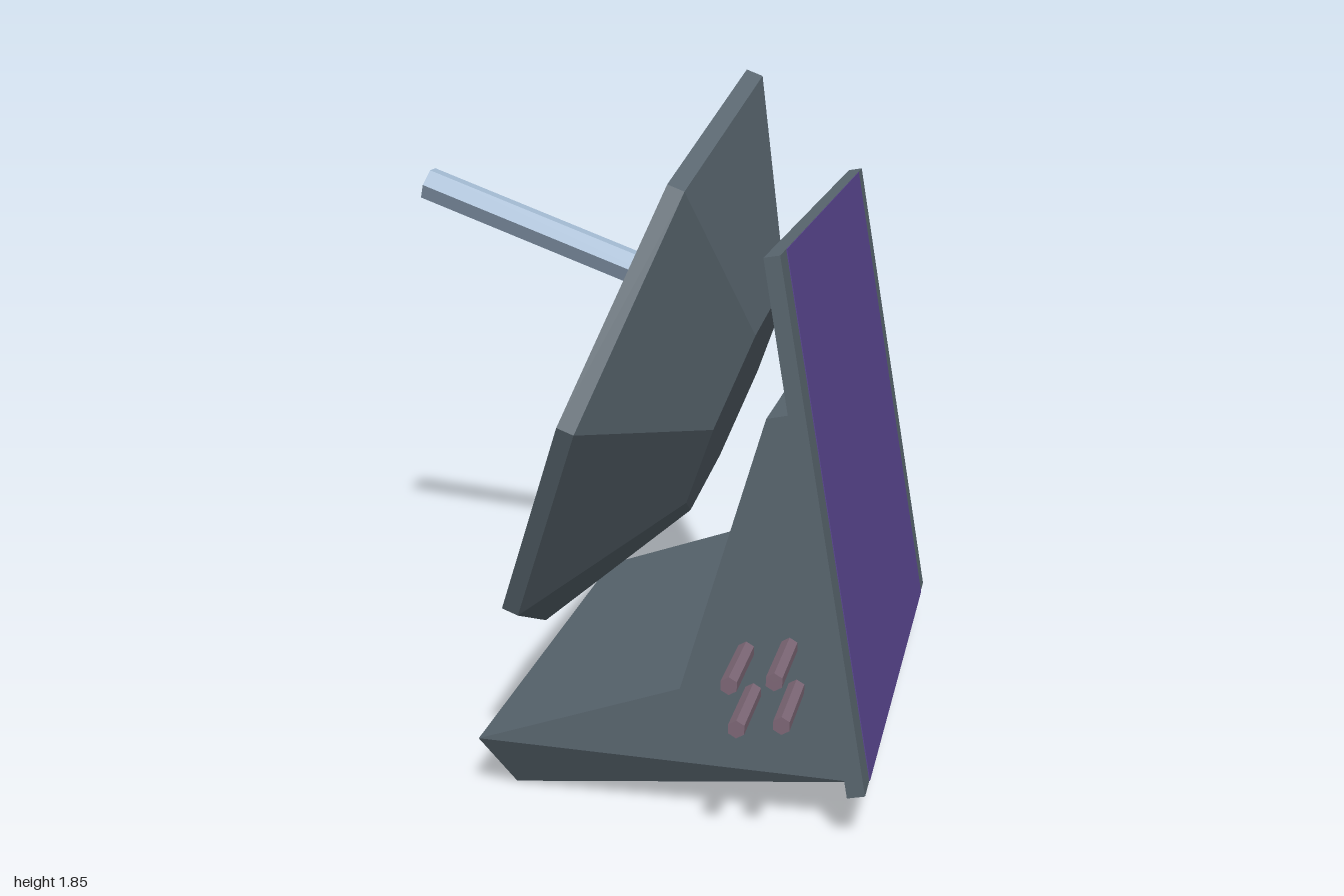
import * as THREE from 'three';

const mat = (color) => new THREE.MeshStandardMaterial({ color, flatShading: true });

// Prism from an x-y outline, spanning z = -half .. half
function prism(outline, half) {
  const shape = new THREE.Shape(outline.map(([x, y]) => new THREE.Vector2(x, y)));
  const geo = new THREE.ExtrudeGeometry(shape, { depth: half * 2, bevelEnabled: false });
  return geo.translate(0, 0, -half);
}

export function createModel() {
  const group = new THREE.Group();
  const slate = mat(0x59666f);
  const purple = mat(0x5c4894);
  const steel = mat(0xa3bad2);
  const mauve = mat(0x7d6776);

  const add = (name, geo, material, parent = group) => {
    const mesh = new THREE.Mesh(geo, material);
    mesh.name = name;
    parent.add(mesh);
    return mesh;
  };

  // Bracket body with a wedge foot that narrows towards its lower edge
  add('bracket', prism([[-0.17, 0.15], [0.82, 0.13], [0.65, 1.08], [0.58, 1.065], [0.37, 0.34]], 0.75), slate);
  const foot = prism([[-0.17, 0.15], [-0.09, 0], [0.82, 0.13]], 0.75);
  const pos = foot.attributes.position;
  for (let i = 0; i < pos.count; i++) {
    if (pos.getY(i) < 0.05) pos.setZ(i, pos.getZ(i) * 0.665 / 0.75);
  }
  foot.computeVertexNormals();
  add('foot', foot, slate);

  // Tilted panel with a coloured face
  add('panel', prism([[0.58, 1.48], [0.815, 0.125], [0.86, 0.135], [0.62, 1.487]], 0.84), slate);
  add('panelFace', prism([[0.618, 1.486], [0.858, 0.135], [0.862, 0.136], [0.622, 1.487]], 0.745), purple);

  // Eight-sided dish: hollow cone in front, thin rim, blunt cone behind
  const profile = [[0, 0.273], [0.87, 0], [0.87, 0.047], [0.364, 0.32], [0, 0.32]]
    .map(([r, h]) => new THREE.Vector2(r, h));
  const dish = add('dish', new THREE.LatheGeometry(profile, 8), slate);
  dish.position.set(0.079, 1.042, 0);
  dish.rotation.z = Math.atan2(-0.933, -0.359);

  // Six-sided arm beside the dish
  const start = new THREE.Vector3(-0.848, 1.382, -0.943);
  const end = new THREE.Vector3(0.183, 1.006, -0.943);
  const arm = add('arm', new THREE.CylinderGeometry(0.057, 0.057, start.distanceTo(end), 6), steel);
  arm.position.copy(start).add(end).multiplyScalar(0.5);
  arm.quaternion.setFromUnitVectors(new THREE.Vector3(0, 1, 0), end.clone().sub(start).normalize());

  // Four pins on the bracket's side
  const pins = new THREE.Group();
  pins.name = 'pins';
  group.add(pins);
  for (const [x, y] of [[0.54, 0.46], [0.65, 0.48], [0.56, 0.35], [0.67, 0.37]]) {
    const pin = add('pin', new THREE.CylinderGeometry(0.023, 0.023, 0.3, 6).rotateX(Math.PI / 2), mauve, pins);
    pin.position.set(x, y, 0.85);
  }
  return group;
}
